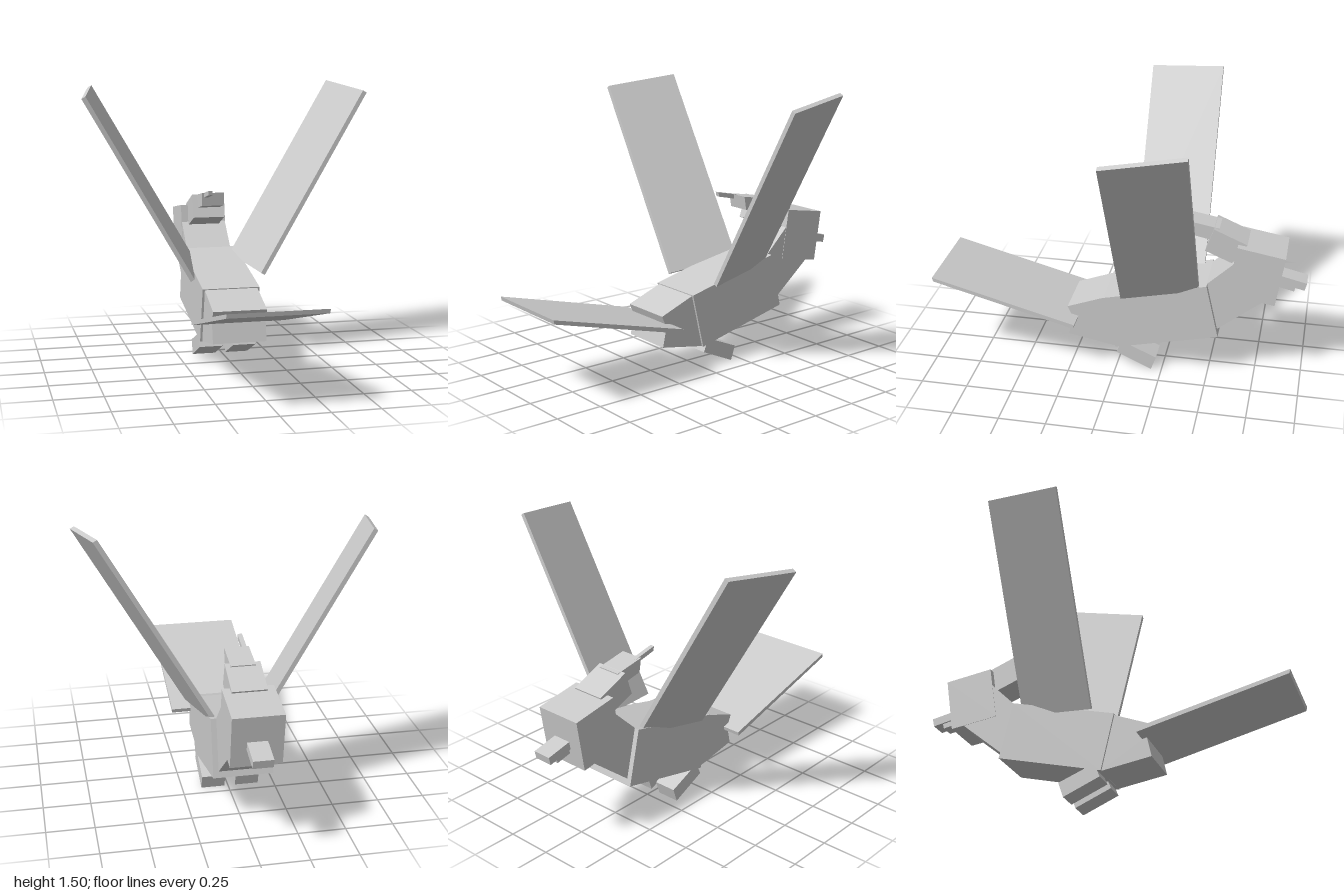
import * as THREE from 'three';

const material = new THREE.MeshStandardMaterial({ color: 0xcccccc, flatShading: true });

// Block with a side profile of [z, y] points, running from x0 to x1
function block(name, x0, x1, profile) {
  const shape = new THREE.Shape(profile.map(([z, y]) => new THREE.Vector2(-z, y)));
  const geometry = new THREE.ExtrudeGeometry(shape, { depth: x1 - x0, bevelEnabled: false });
  geometry.rotateY(Math.PI / 2).translate(x0, 0, 0);
  const mesh = new THREE.Mesh(geometry, material);
  mesh.name = name;
  return mesh;
}

// Flat slanted panel: a unit box sheared along span, chord and thickness
function wing(name, side, lift) {
  const span = new THREE.Vector3(side * 0.57, 0.985, 0);
  const chord = new THREE.Vector3(side * 0.08, -0.046, 0.405);
  const thick = new THREE.Vector3(side * 0.021, -0.012, 0);
  const root = new THREE.Vector3(side * 0.105, 0.519 + lift, -0.44);
  const axes = side > 0 ? [span, chord, thick] : [chord, span, thick];
  const matrix = new THREE.Matrix4().makeBasis(...axes).setPosition(root);
  const geometry = new THREE.BoxGeometry(1, 1, 1).translate(0.5, 0.5, 0.5).applyMatrix4(matrix);
  const mesh = new THREE.Mesh(geometry, material);
  mesh.name = name;
  return mesh;
}

export function createModel() {
  const model = new THREE.Group();
  model.name = 'bird';

  // Body
  model.add(
    block('torso', -0.165, 0.147, [[0.075, 0.42], [-0.483, 0.55], [-0.552, 0.249], [0.005, 0.12]]),
    block('rump', -0.153, 0.135, [[0.273, 0.34], [0.245, 0.275], [0.268, 0.169], [0, 0.12], [0.06, 0.42]]),
    block('tail', -0.255, 0.24, [[1, 0.496], [0.214, 0.287], [0.22, 0.265], [0.995, 0.474]]),
    block('neck', -0.138, 0.118, [[-0.46, 0.53], [-0.617, 0.682], [-0.8, 0.49], [-0.53, 0.27]]),
  );

  // Head and beak
  model.add(
    block('head', -0.14, 0.12, [[-0.633, 0.78], [-0.885, 0.737], [-0.842, 0.458], [-0.59, 0.5]]),
    block('upperBeak', -0.06, 0.042, [[-0.84, 0.603], [-1, 0.566], [-0.99, 0.523], [-0.83, 0.56]]),
    block('lowerBeak', -0.05, 0.032, [[-0.83, 0.56], [-0.942, 0.534], [-0.935, 0.507], [-0.825, 0.533]]),
  );

  // Crest stepping back from the head
  model.add(
    block('crestBase', -0.1, 0.08, [[-0.504, 0.855], [-0.681, 0.78], [-0.635, 0.655], [-0.461, 0.727]]),
    block('crestMiddle', -0.072, 0.055, [[-0.36, 0.88], [-0.53, 0.85], [-0.515, 0.775], [-0.373, 0.805]]),
    block('crestTip', -0.06, -0.036, [[-0.25, 0.905], [-0.39, 0.875], [-0.385, 0.85], [-0.255, 0.88]]),
  );

  // Feet
  const foot = [[0, 0.088], [-0.193, 0], [-0.22, 0.078], [-0.03, 0.16]];
  model.add(block('leftFoot', 0.02, 0.147, foot), block('rightFoot', -0.165, -0.038, foot));

  // Raised wings
  model.add(wing('leftWing', 1, 0), wing('rightWing', -1, -0.02));
  return model;
}
